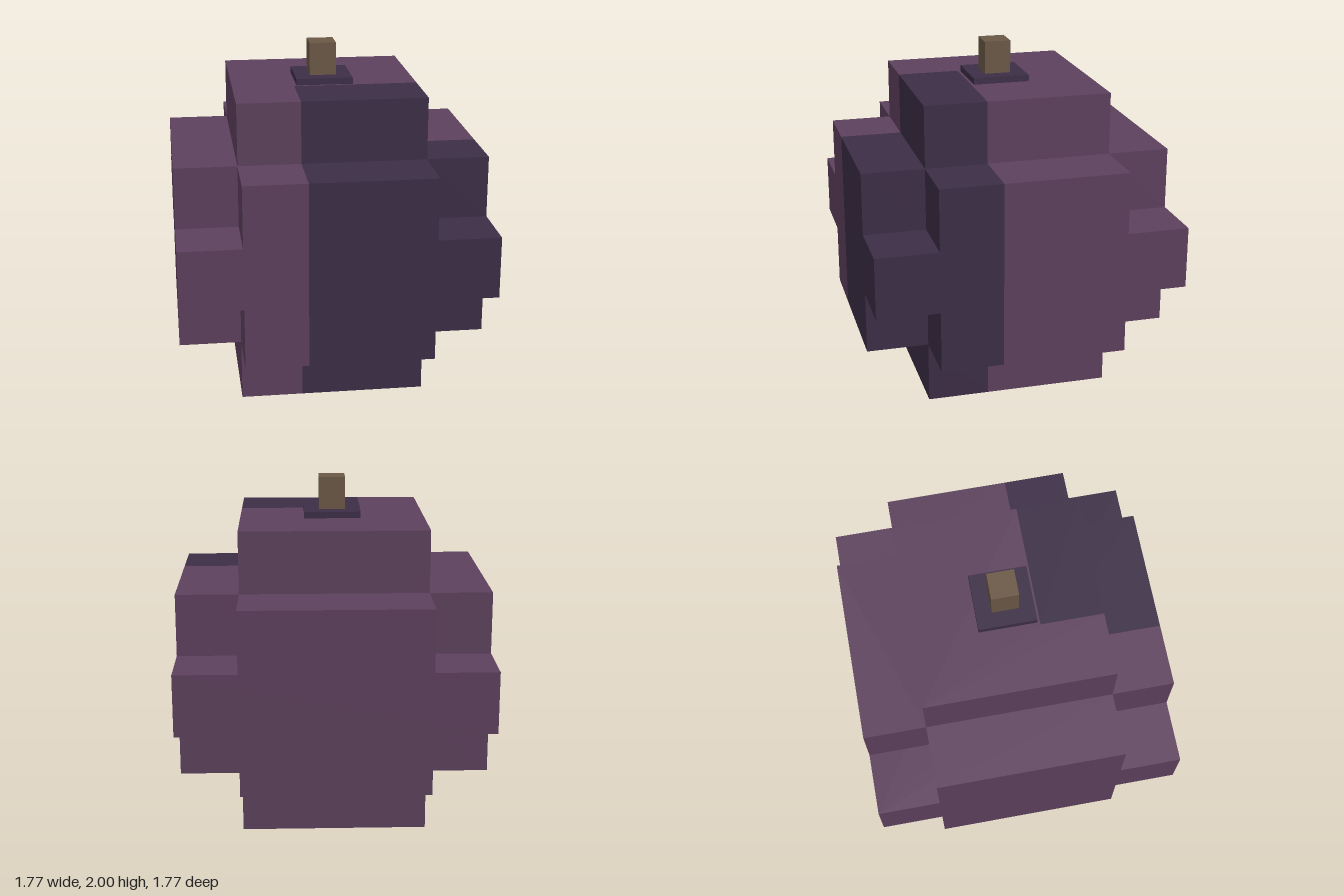
import * as THREE from 'three';

const U = 0.355; // size of one block; the body is five blocks in each direction

// Floor outlines in block units, as [x, z] corners, split by colour patch
const footprints = {
  small: {
    main: [[-1.5, -1.5], [1.5, -1.5], [1.5, 0.5], [-0.5, 0.5], [-0.5, 1.5], [-1.5, 1.5]],
    patch: [[-0.5, 0.5], [1.5, 0.5], [1.5, 1.5], [-0.5, 1.5]],
  },
  cross: {
    main: [[-1.5, -2.5], [1.5, -2.5], [1.5, -1.5], [2.5, -1.5], [2.5, 0.5], [-0.5, 0.5],
      [-0.5, 2.5], [-1.5, 2.5], [-1.5, 1.5], [-2.5, 1.5], [-2.5, -1.5], [-1.5, -1.5]],
    patch: [[-0.5, 0.5], [2.5, 0.5], [2.5, 1.5], [1.5, 1.5], [1.5, 2.5], [-0.5, 2.5]],
  },
  full: {
    main: [[-2.5, -2.5], [2.5, -2.5], [2.5, 0.5], [-0.5, 0.5], [-0.5, 2.5], [-2.5, 2.5]],
    patch: [[-0.5, 0.5], [2.5, 0.5], [2.5, 2.5], [-0.5, 2.5]],
  },
};

function flatMaterial(name, color) {
  const material = new THREE.MeshStandardMaterial({ color });
  material.name = name;
  return material;
}

// One-block-high slab from an outline, resting at the given layer
function slab(outline, layer) {
  const shape = new THREE.Shape(outline.map(([x, z]) => new THREE.Vector2(x * U, z * U)));
  const geometry = new THREE.ExtrudeGeometry(shape, { depth: U, bevelEnabled: false });
  geometry.rotateX(Math.PI / 2);
  geometry.translate(0, (layer + 1) * U, 0);
  return geometry;
}

export function createModel() {
  const plum = flatMaterial('plum', 0x5d415d);
  const darkPurple = flatMaterial('dark purple', 0x3c2d46);
  const brown = flatMaterial('brown', 0x6b5846);

  const model = new THREE.Group();
  model.name = 'blockFruit';
  const add = (parent, name, geometry, material) => {
    const mesh = new THREE.Mesh(geometry, material);
    mesh.name = name;
    parent.add(mesh);
    return mesh;
  };

  // Stepped round body, layer by layer, with a dark patch at the front left
  const body = new THREE.Group();
  body.name = 'body';
  model.add(body);
  ['small', 'cross', 'full', 'cross', 'small'].forEach((key, layer) => {
    add(body, `bodyLayer${layer + 1}`, slab(footprints[key].main, layer), plum);
    add(body, `darkPatchLayer${layer + 1}`, slab(footprints[key].patch, layer), darkPurple);
  });

  // Collar and stem on top
  const top = 5 * U;
  const collarHeight = 0.037;
  const stemHeight = 2 - top - collarHeight;
  add(model, 'stemCollar', new THREE.BoxGeometry(0.326, collarHeight, 0.326), darkPurple)
    .position.y = top + collarHeight / 2;
  add(model, 'stem', new THREE.BoxGeometry(0.152, stemHeight, 0.152), brown)
    .position.y = 2 - stemHeight / 2;

  return model;
}
